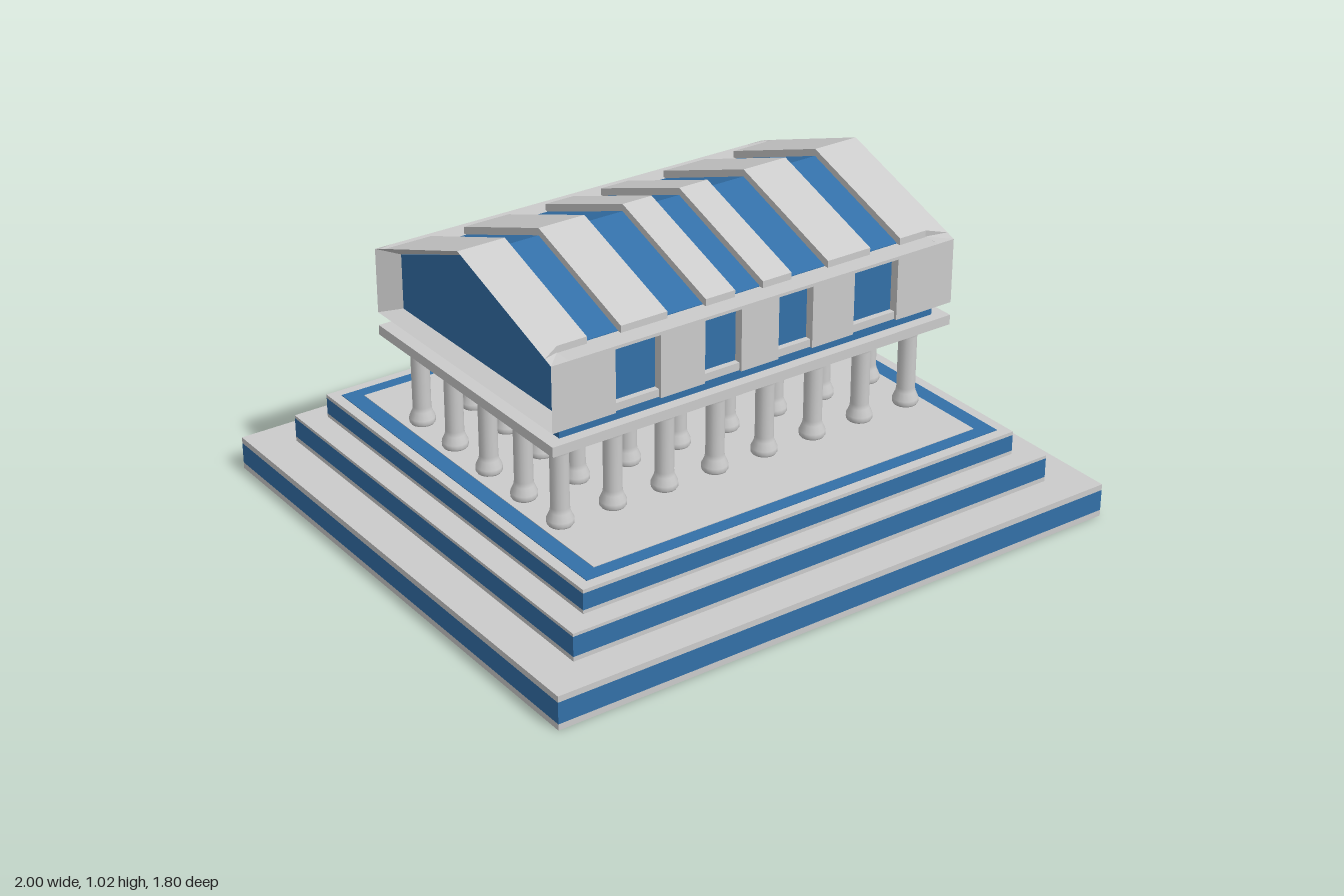
import * as THREE from 'three';

const grey = new THREE.MeshStandardMaterial({ color: 0xcccccc });
const greyThin = new THREE.MeshStandardMaterial({ color: 0xcccccc, side: THREE.DoubleSide, flatShading: true });
const blue = new THREE.MeshStandardMaterial({ color: 0x3370a8 });

export function createModel() {
  const root = new THREE.Group();

  function add(name, geometry, material) {
    const mesh = new THREE.Mesh(geometry, material);
    mesh.name = name;
    root.add(mesh);
    return mesh;
  }
  // Box given by its x range, y range and z range
  function block(name, material, x0, x1, y0, y1, z0, z1) {
    add(name, new THREE.BoxGeometry(x1 - x0, y1 - y0, z1 - z0), material)
      .position.set((x0 + x1) / 2, (y0 + y1) / 2, (z0 + z1) / 2);
  }
  const slab = (name, material, x, z, y0, y1) => block(name, material, -x, x, y0, y1, -z, z);
  // Symmetric closed section from its +z half, listed bottom to ridge as [z, y]
  const section = half => [...half, ...half.slice(0, -1).reverse().map(([z, y]) => [-z, y])];
  // Prism of a section between two x positions
  function prism(name, material, half, x0, x1) {
    const shape = new THREE.Shape(section(half).map(p => new THREE.Vector2(...p)));
    const g = new THREE.ExtrudeGeometry(shape, { depth: x1 - x0, bevelEnabled: false });
    g.rotateY(Math.PI / 2).translate(x0, 0, 0);
    add(name, g, material);
  }

  // Three stepped tiers, each a grey course, a blue band and a grey course
  const tiers = [
    [1, 0.9, 0, 0.02, 0.09, 0.11],
    [0.87, 0.782, 0.11, 0.125, 0.19, 0.2],
    [0.79, 0.714, 0.2, 0.212, 0.266, 0.278],
  ];
  for (const [x, z, a, b, c, d] of tiers) {
    slab('tierBottom', grey, x, z, a, b);
    slab('tierBand', blue, x, z, b, c);
    slab('tierTop', grey, x, z, c, d);
  }
  // Blue border inlaid around the floor
  slab('floorBorder', blue, 0.755, 0.68, 0.27, 0.28);
  slab('floor', grey, 0.7, 0.635, 0.27, 0.282);

  // Columns with flared base and capital
  const profile = [
    [0, 0.28], [0.036, 0.28], [0.041, 0.288], [0.041, 0.302], [0.031, 0.325],
    [0.029, 0.34], [0.029, 0.515], [0.032, 0.53], [0.041, 0.545], [0.041, 0.565], [0, 0.565],
  ].map(p => new THREE.Vector2(...p));
  const columnGeometry = new THREE.LatheGeometry(profile, 16);
  for (let i = 0; i < 8; i++) {
    for (let j = 0; j < 5; j++) {
      add('column', columnGeometry, grey).position.set(-0.642 + i * 0.1834, 0, -0.38 + j * 0.19);
    }
  }

  // Entablature
  slab('architrave', grey, 0.725, 0.475, 0.565, 0.597);
  slab('frieze', blue, 0.68, 0.44, 0.597, 0.64);

  // Upper storey: blue core, sill and cornice, with piers between the windows
  const inner = 0.665;
  slab('windowCore', blue, inner, 0.445, 0.645, 0.845);
  slab('sill', grey, inner, 0.465, 0.64, 0.665);
  slab('cornice', grey, inner, 0.475, 0.84, 0.85);
  const piers = [[-inner, -0.51], [-0.355, -0.2], [-0.07, 0.065], [0.19, 0.345], [0.51, inner]];
  for (const [x0, x1] of piers) {
    block('pierFront', grey, x0, x1, 0.64, 0.845, 0.43, 0.475);
    block('pierBack', grey, x0, x1, 0.64, 0.845, -0.475, -0.43);
  }

  // Blue roof under raised grey ribs
  prism('roof', blue, [[0.4, 0.845], [0.4, 0.852], [0, 0.997]], -inner, inner);
  const ribs = [[-inner, -0.565], [-0.45, -0.29], [-0.155, -0.05], [0.05, 0.155], [0.29, 0.45], [0.565, inner]];
  for (const [x0, x1] of ribs) {
    prism('roofRib', grey, [[0.415, 0.845], [0.415, 0.872], [0, 1.02]], x0, x1);
  }

  // End frames: outer shell flaring to the gable edge, then bevelling in to the blue gable
  const shell = section([[0.475, 0.64], [0.475, 0.85], [0.415, 0.852], [0.415, 0.872], [0, 1.02]]);
  const edge = section([[0.475, 0.64], [0.475, 0.85], [0.445, 0.861], [0.415, 0.872], [0, 1.02]]);
  const bevel = section([[0.415, 0.66], [0.415, 0.837], [0.4, 0.843], [0.38, 0.85], [0, 0.992]]);
  for (const s of [-1, 1]) {
    const rings = [[inner, shell], [0.725, edge], [inner, bevel]];
    const n = shell.length, pos = [], idx = [];
    for (const [x, ring] of rings) for (const [z, y] of ring) pos.push(s * x, y, z);
    for (let r = 0; r < 2; r++) {
      for (let i = 0; i < n; i++) {
        const a = r * n + i, b = r * n + (i + 1) % n;
        if (s > 0) idx.push(a, b, a + n, b, b + n, a + n);
        else idx.push(a, a + n, b, b, a + n, b + n);
      }
    }
    const g = new THREE.BufferGeometry();
    g.setAttribute('position', new THREE.Float32BufferAttribute(pos, 3));
    g.setIndex(idx);
    g.computeVertexNormals();
    add('gableFrame', g, greyThin);
    prism('gablePanel', blue, [[0.418, 0.658], [0.418, 0.837], [0, 0.993]],
      s > 0 ? inner : -inner - 0.004, s > 0 ? inner + 0.004 : -inner);
  }

  return root;
}
